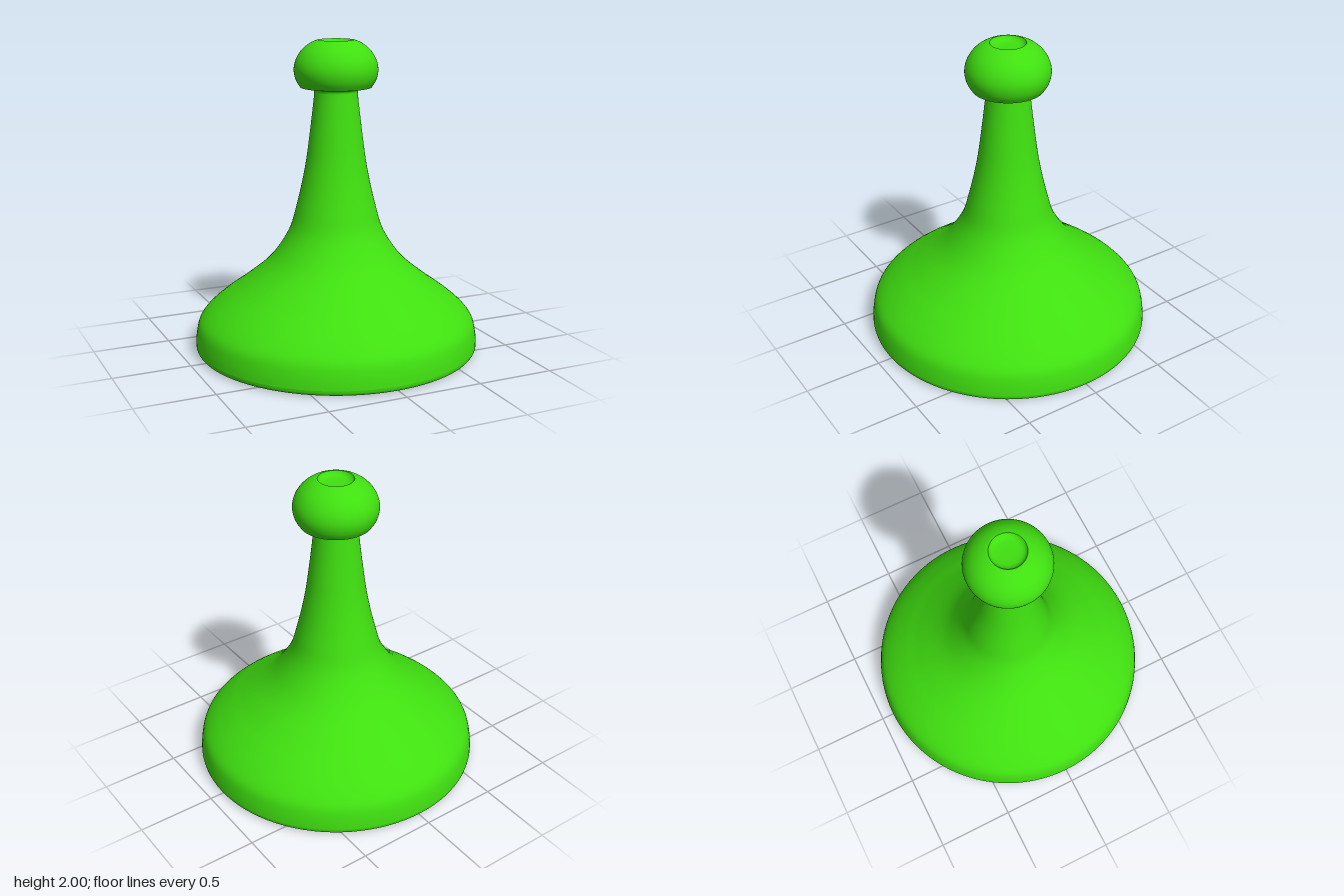
import * as THREE from 'three';

// Smooth profile through [radius, height] points
function profile(points, samples) {
  const curve = new THREE.CatmullRomCurve3(
    points.map(([r, y]) => new THREE.Vector3(r, y, 0)), false, 'centripetal');
  return curve.getSpacedPoints(samples).map(p => new THREE.Vector2(Math.max(p.x, 0), p.y));
}

export function createModel() {
  const group = new THREE.Group();
  group.name = 'gamePawn';
  const green = new THREE.MeshStandardMaterial({ color: 0x40e010 });
  green.name = 'bright green';

  const turn = (name, points, samples) => {
    const mesh = new THREE.Mesh(new THREE.LatheGeometry(profile(points, samples), 96), green);
    mesh.name = name;
    group.add(mesh);
  };

  // Hollow underside: flat ceiling, sloping wall and foot rim
  turn('underside', [
    [0, 0.12], [0.28, 0.12], [0.56, 0.12], [0.63, 0.1], [0.69, 0.06],
    [0.74, 0.025], [0.79, 0.006], [0.84, 0], [0.89, 0.003],
  ], 40);

  // Rounded foot edge
  turn('footEdge', [[0.89, 0.003], [0.907, 0.008], [0.916, 0.02], [0.92, 0.04]], 8);

  // Flared body rising into the slim neck
  turn('body', [
    [0.92, 0.04], [0.915, 0.1], [0.893, 0.19], [0.84, 0.257], [0.733, 0.348],
    [0.627, 0.425], [0.467, 0.555], [0.387, 0.645], [0.3, 0.79], [0.255, 0.94],
    [0.2, 1.185], [0.165, 1.43], [0.138, 1.66], [0.137, 1.675],
  ], 80);

  // Fillet and underside of the knob
  turn('collar', [[0.137, 1.675], [0.14, 1.688], [0.155, 1.695], [0.19, 1.698], [0.226, 1.704]], 14);

  // Round knob up to its flattened lip
  turn('knob', [
    [0.226, 1.704], [0.253, 1.75], [0.266, 1.81], [0.256, 1.87],
    [0.222, 1.93], [0.17, 1.976], [0.12, 1.999], [0.112, 2],
  ], 36);

  // Shallow dimple in the top
  turn('dimple', [[0.112, 2], [0.104, 1.986], [0.085, 1.974], [0.05, 1.969], [0, 1.968]], 14);

  return group;
}
